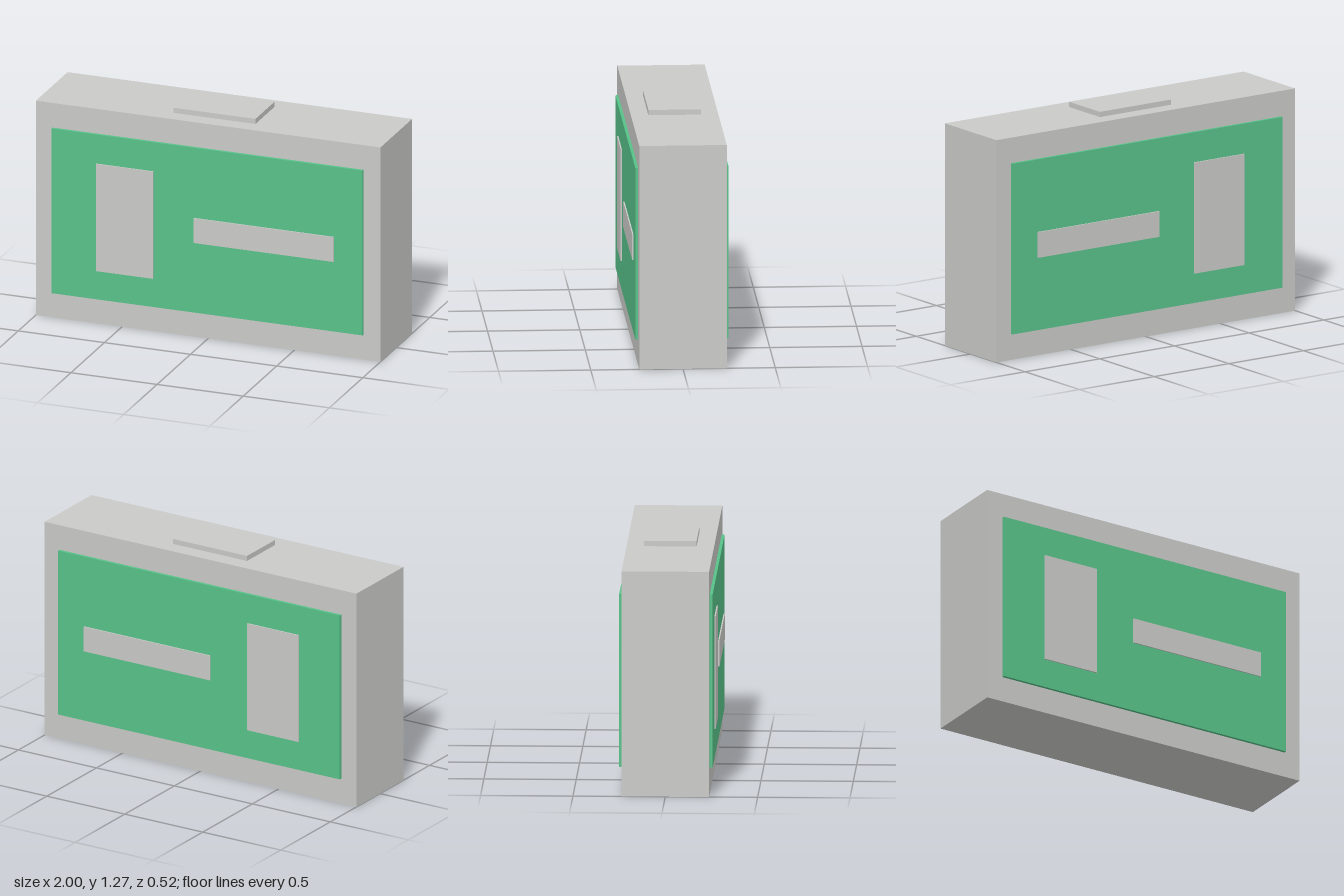
import * as THREE from 'three';

export function createModel() {
  const grey = new THREE.MeshStandardMaterial({ name: 'light grey', color: 0xc9c9c7 });
  const green = new THREE.MeshStandardMaterial({ name: 'green', color: 0x57c188 });
  const model = new THREE.Group();
  model.name = 'box';

  // Box given by its extents on each axis
  function block(name, material, [x0, x1], [y0, y1], [z0, z1]) {
    const mesh = new THREE.Mesh(new THREE.BoxGeometry(x1 - x0, y1 - y0, z1 - z0), material);
    mesh.position.set((x0 + x1) / 2, (y0 + y1) / 2, (z0 + z1) / 2);
    mesh.name = name;
    model.add(mesh);
  }

  // Case and the low cap on top
  const half = 0.237, panelFace = 0.253, plateFace = 0.26;
  block('case', grey, [-1, 1], [0, 1.238], [-half, half]);
  block('topCap', grey, [-0.238, 0.238], [1.238, 1.267], [-0.142, 0.142]);

  // Same panel and raised plates on front and back, at the same x
  for (const [side, s] of [['front', 1], ['back', -1]]) {
    const layer = (a, b) => (s > 0 ? [a, b] : [-b, -a]);
    block(side + 'Panel', green, [-0.903, 0.903], [0.145, 1.096], layer(half, panelFace));
    block(side + 'TallPlate', grey, [-0.643, -0.312], [0.31, 0.929], layer(panelFace, plateFace));
    block(side + 'LongPlate', grey, [-0.076, 0.737], [0.549, 0.692], layer(panelFace, plateFace));
  }
  return model;
}
